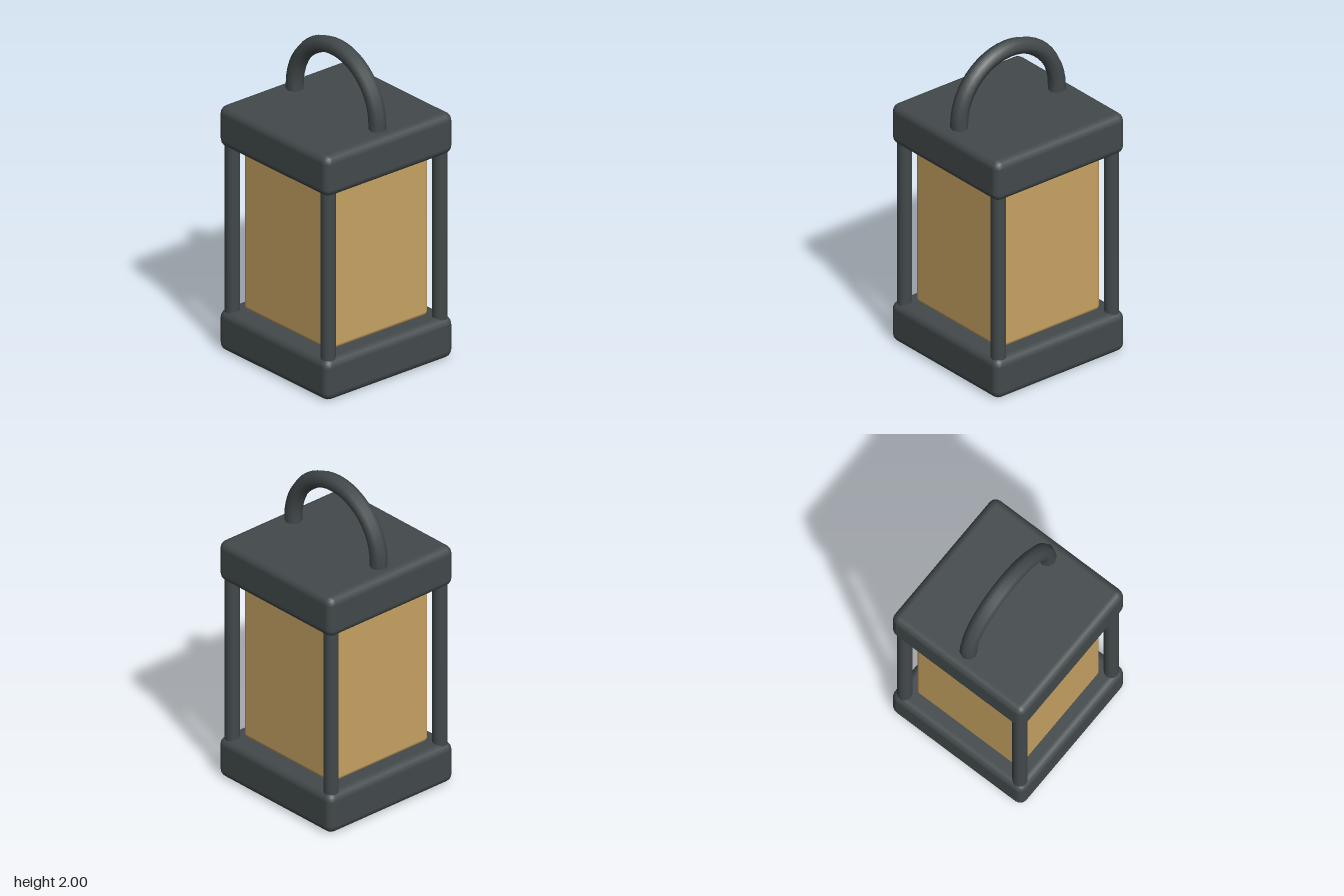
import * as THREE from 'three';
import { RoundedBoxGeometry } from 'three/addons/geometries/RoundedBoxGeometry.js';

export function createModel() {
  const model = new THREE.Group();
  model.name = 'lantern';
  const metal = new THREE.MeshStandardMaterial({ color: 0x434a4c });
  const amber = new THREE.MeshStandardMaterial({ color: 0xc8a363 });

  function add(name, geometry, material, x, y, z) {
    const mesh = new THREE.Mesh(geometry, material);
    mesh.name = name;
    mesh.position.set(x, y, z);
    model.add(mesh);
  }

  // Base and cap: matching rounded slabs
  const slab = new RoundedBoxGeometry(0.97, 0.26, 0.97, 2, 0.05);
  add('base', slab, metal, 0, 0.13, 0);
  add('cap', slab, metal, 0, 1.425, 0);

  // Glowing glass body between them
  add('glass', new RoundedBoxGeometry(0.76, 1.035, 0.76, 2, 0.03), amber, 0, 0.7775, 0);

  // Four corner posts, sunk slightly into base and cap
  const post = new THREE.CylinderGeometry(0.045, 0.045, 1.12, 12);
  for (const [sx, side] of [[-1, 'Right'], [1, 'Left']]) {
    for (const [sz, end] of [[-1, 'back'], [1, 'front']]) {
      add(end + side + 'Post', post, metal, sx * 0.423, 0.7775, sz * 0.423);
    }
  }

  // Carrying handle: half ring on short straight legs
  const radius = 0.365, springY = 1.583;
  const ring = new THREE.TorusGeometry(radius, 0.052, 8, 24, Math.PI);
  add('handleArch', ring, metal, 0, springY, 0);
  const leg = new THREE.CylinderGeometry(0.052, 0.052, 0.08, 8, 1, true);
  leg.rotateY(Math.PI / 2);
  add('handleRightLeg', leg, metal, -radius, springY - 0.04, 0);
  add('handleLeftLeg', leg, metal, radius, springY - 0.04, 0);

  return model;
}
